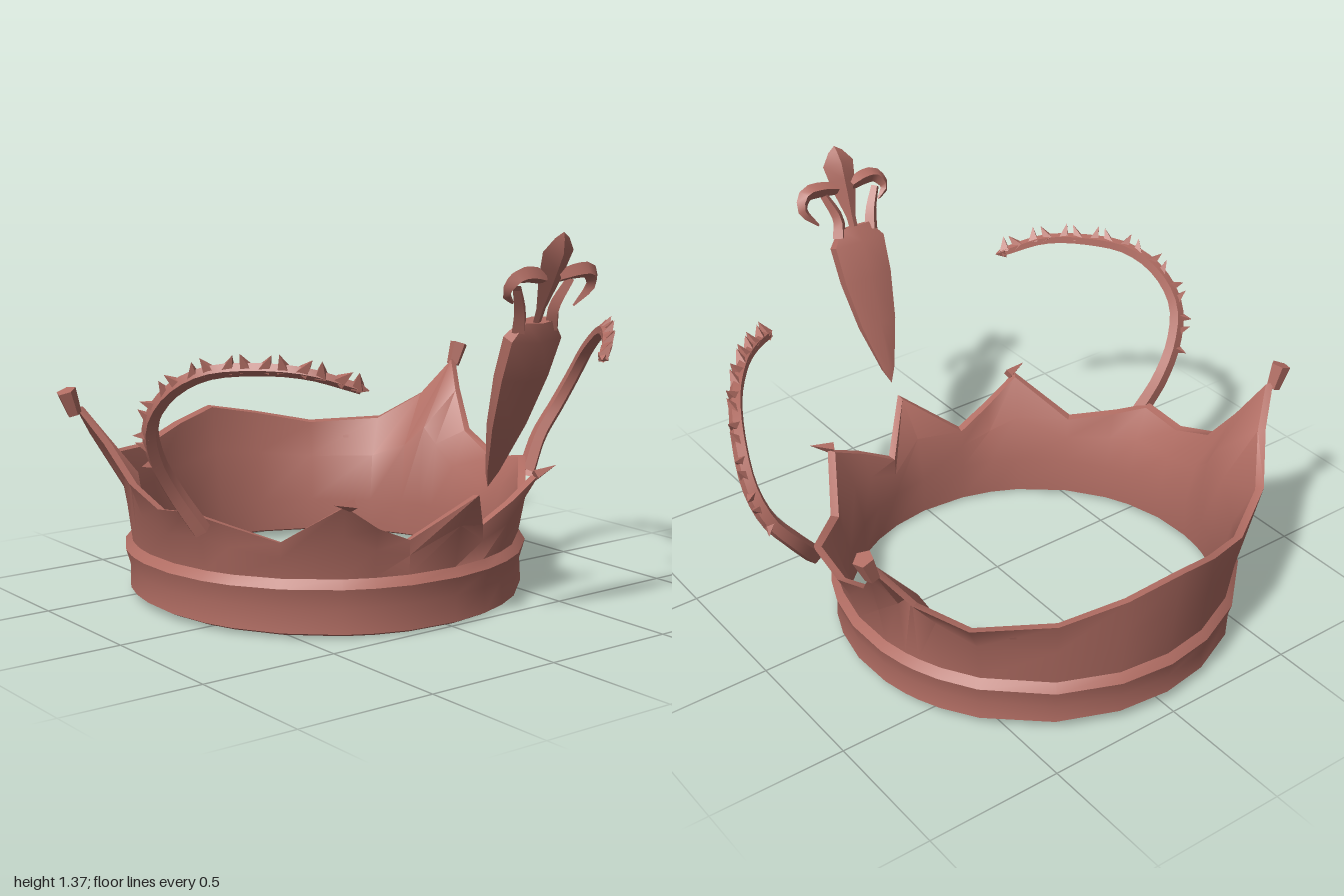
import * as THREE from 'three';
import { toCreasedNormals } from 'three/addons/utils/BufferGeometryUtils.js';

const V = (a) => new THREE.Vector3(...a);
const UP = new THREE.Vector3(0, 1, 0);
const CENTER_Z = -0.225;

export function createModel() {
  const crown = new THREE.Group();
  crown.name = 'crown';
  const copper = new THREE.MeshStandardMaterial({ color: 0xb16d63, side: THREE.DoubleSide });
  copper.name = 'copper';

  const add = (parent, name, geometry, crease = 0.6) => {
    const mesh = new THREE.Mesh(toCreasedNormals(geometry, crease), copper);
    mesh.name = name;
    parent.add(mesh);
    return mesh;
  };

  // Tube along points whose radius follows radiusAt(t)
  const taperedTube = (points, radiusAt, segments, sides) => {
    const curve = new THREE.CatmullRomCurve3(points.map(V));
    const geo = new THREE.TubeGeometry(curve, segments, 1, sides);
    const pos = geo.attributes.position;
    const p = new THREE.Vector3();
    for (let k = 0; k < pos.count; k++) {
      const t = Math.floor(k / (sides + 1)) / segments;
      const c = curve.getPointAt(t);
      p.fromBufferAttribute(pos, k).sub(c).multiplyScalar(radiusAt(t)).add(c);
      pos.setXYZ(k, p.x, p.y, p.z);
    }
    return { geo, curve };
  };

  // Small pointed barb at a place, aimed along a direction
  const addBarb = (parent, name, at, dir, radius, length) => {
    const geo = new THREE.ConeGeometry(radius, length, 4);
    geo.translate(0, length / 2, 0);
    const mesh = add(parent, name, geo, 0.2);
    mesh.position.copy(at);
    mesh.quaternion.setFromUnitVectors(UP, dir.clone().normalize());
  };

  // Rim of the band, from the front point round by the left side
  const rim = [
    [0.03, 0.47, 0.60], [0.17, 0.32, 0.46], [0.30, 0.39, 0.47], [0.44, 0.46, 0.45],
    [0.56, 0.33, 0.25], [0.68, 0.38, 0.12], [0.77, 0.42, 0.02], [0.78, 0.39, -0.15],
    [0.79, 0.47, -0.33], [0.84, 0.61, -0.45], [0.89, 0.72, -0.54], [0.79, 0.58, -0.62],
    [0.65, 0.48, -0.73], [0.40, 0.47, -0.87], [0.18, 0.52, -0.95], [-0.02, 0.56, -0.98],
    [-0.20, 0.52, -0.94], [-0.40, 0.47, -0.86], [-0.64, 0.49, -0.71], [-0.79, 0.60, -0.55],
    [-0.89, 0.72, -0.47], [-0.82, 0.59, -0.40], [-0.78, 0.46, -0.30], [-0.77, 0.40, -0.13],
    [-0.76, 0.42, 0.04], [-0.67, 0.38, 0.13], [-0.55, 0.33, 0.27], [-0.43, 0.47, 0.47],
    [-0.30, 0.38, 0.48], [-0.16, 0.32, 0.47],
  ];

  // Band: a closed section (moulding, outer wall, rim, inner wall) carried round the rim
  const positions = [], index = [];
  let rows = 0;
  for (const [x, y, z] of rim) {
    const a = Math.atan2(x, z - CENTER_Z);
    const sx = Math.sin(a), sz = Math.cos(a);
    const ring = (r, h) => [sx * r, h, CENTER_Z + sz * r];
    const between = (p, q, t) => p.map((v, i) => v + (q[i] - v) * t);
    const bottom = 0.015 - 0.015 * sz;
    const outer = [x, y, z];
    const inner = [x - sx * 0.03, y - 0.005, z - sz * 0.03];
    const waist = ring(0.71, 0.2), lining = ring(0.67, 0.16);
    const reach = Math.hypot(x, z - CENTER_Z);
    const mid = between(waist, ring(Math.min(reach, 0.76), y), 0.55);
    const section = [
      ring(0.70, bottom), ring(0.72, bottom + 0.01), ring(0.715, 0.10), ring(0.735, 0.17),
      waist, mid, outer, inner,
      between(lining, ring(Math.min(reach, 0.76) - 0.03, y), 0.55), lining, ring(0.675, bottom + 0.01),
    ];
    rows = section.length;
    section.forEach((p) => positions.push(...p));
  }
  for (let i = 0; i < rim.length; i++) {
    const n = (i + 1) % rim.length;
    for (let j = 0; j < rows; j++) {
      const m = (j + 1) % rows;
      const a = i * rows + j, b = n * rows + j, c = n * rows + m, d = i * rows + m;
      index.push(a, b, c, a, c, d);
    }
  }
  const bandGeo = new THREE.BufferGeometry();
  bandGeo.setAttribute('position', new THREE.Float32BufferAttribute(positions, 3));
  bandGeo.setIndex(index);
  add(crown, 'band', bandGeo, 0.7);

  // Knobs on the two tall side points
  for (const [x, z, side] of [[0.90, -0.545, 1], [-0.91, -0.465, -1]]) {
    const knob = add(crown, 'sideKnob', new THREE.CylinderGeometry(0.036, 0.026, 0.09, 5));
    knob.position.set(x, 0.735, z);
    knob.rotation.z = -side * 0.35;
  }

  // Little hooked barbs on the front corner points
  addBarb(crown, 'frontBarb', V([0.42, 0.46, 0.45]), V([0.08, 0.03, 0.02]), 0.022, 0.09);
  addBarb(crown, 'frontBarb', V([-0.40, 0.47, 0.47]), V([-0.08, 0.015, 0.015]), 0.022, 0.09);

  // Curling horns with a row of barbs along the outside
  const horns = {
    leftHorn: [[0.75, 0.36, 0.05], [0.85, 0.49, 0.01], [0.93, 0.60, 0.02], [0.96, 0.71, 0.07],
      [0.94, 0.82, 0.16], [0.87, 0.91, 0.30], [0.77, 0.94, 0.43], [0.66, 0.92, 0.55], [0.54, 0.89, 0.65]],
    rightHorn: [[-0.73, 0.36, 0.08], [-0.82, 0.50, 0.06], [-0.90, 0.63, 0.08], [-0.945, 0.75, 0.13],
      [-0.93, 0.86, 0.22], [-0.87, 0.93, 0.33], [-0.77, 0.95, 0.45], [-0.65, 0.94, 0.57], [-0.51, 0.89, 0.66]],
  };
  for (const [name, points] of Object.entries(horns)) {
    const horn = new THREE.Group();
    horn.name = name;
    crown.add(horn);
    const { geo, curve } = taperedTube(points, (t) => 0.034 - 0.016 * t, 26, 5);
    add(horn, 'hornStem', geo);
    const side = Math.sign(points[0][0]);
    const hub = V([side * 0.68, 0.66, 0.32]);
    const count = 17;
    for (let i = 0; i < count; i++) {
      const t = 0.24 + (0.75 * i) / (count - 1);
      const at = curve.getPointAt(t);
      const along = curve.getTangentAt(t);
      const out = at.clone().sub(hub);
      out.addScaledVector(along, -out.dot(along)).normalize();
      const lean = i % 2 ? 0.5 : -0.2;
      addBarb(horn, 'hornBarb', at, out.addScaledVector(along, lean), 0.026, 0.06);
    }
    addBarb(horn, 'hornTip', curve.getPointAt(0.99), curve.getTangentAt(1), 0.024, 0.04);
  }

  // Floating front ornament, leaning forward
  const ornament = new THREE.Group();
  ornament.name = 'frontOrnament';
  ornament.position.set(0.03, 0.505, 0.64);
  ornament.rotation.x = 0.375;
  crown.add(ornament);

  const flatLathe = (profile, sides, depth) => {
    const geo = new THREE.LatheGeometry(profile.map(([r, y]) => new THREE.Vector2(r, y)), sides);
    return geo.scale(1, 1, depth);
  };
  add(ornament, 'ornamentBlade', flatLathe(
    [[0, 0], [0.03, 0.06], [0.085, 0.24], [0.115, 0.42], [0.122, 0.56], [0.07, 0.62], [0, 0.61]], 6, 0.36), 0.6);
  add(ornament, 'centerLeaf', flatLathe(
    [[0.015, 0.58], [0.02, 0.66], [0.045, 0.75], [0.055, 0.80], [0.065, 0.86], [0.03, 0.905], [0, 0.925]], 4, 0.4), 0.6);

  // Side leaves: a leg rising from the blade, then a hook curling outward and down
  const addLeaf = (side, leg, hook) => {
    const leaf = new THREE.Group();
    leaf.name = side + 'Leaf';
    ornament.add(leaf);
    add(leaf, 'leafLeg', taperedTube(leg, (t) => 0.028 - 0.012 * t, 6, 4).geo);
    add(leaf, 'leafHook', taperedTube(hook, (t) => 0.004 + 0.024 * Math.sin(Math.PI * (0.25 + 0.75 * t)), 10, 4).geo);
  };
  addLeaf('left',
    [[0.07, 0.59, 0], [0.055, 0.66, 0], [0.09, 0.76, 0]],
    [[0.03, 0.77, 0], [0.10, 0.785, 0], [0.165, 0.78, 0], [0.19, 0.73, 0], [0.14, 0.66, 0]]);
  addLeaf('right',
    [[-0.07, 0.59, 0], [-0.09, 0.66, 0], [-0.13, 0.74, 0]],
    [[-0.03, 0.77, 0], [-0.09, 0.785, 0], [-0.14, 0.78, 0], [-0.17, 0.73, 0], [-0.13, 0.69, 0]]);

  return crown;
}
